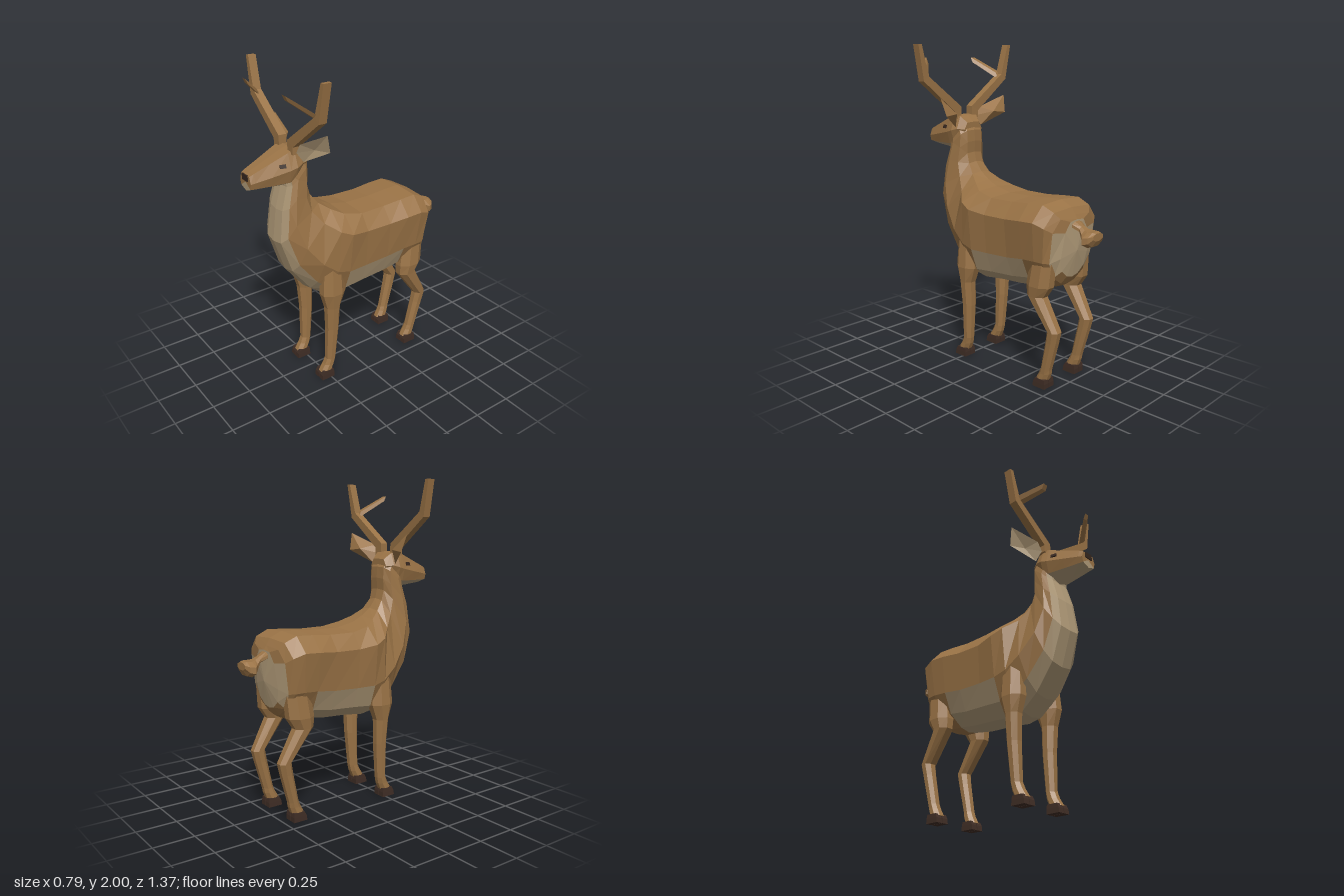
import * as THREE from 'three';

const mat = (name, color) => {
  const m = new THREE.MeshStandardMaterial({ color, flatShading: true });
  m.name = name;
  return m;
};
const V = (x, y, z) => new THREE.Vector3(x, y, z);

export function createModel() {
  const root = new THREE.Group();
  const coat = mat('brown coat', 0x9a7346);
  const pale = mat('pale fur', 0xb09a78);
  const hoofDark = mat('dark hoof', 0x3f2d25);
  const black = mat('nose and eye', 0x35261e);

  // closed solid from triangles [a, b, c, material]; turned outward by its signed volume
  function solid(name, tris) {
    const volume = tris.reduce((s, [a, b, c]) => s + a.dot(V().crossVectors(b, c)), 0);
    const buckets = new Map();
    for (const [a, b, c, m] of tris) {
      if (!buckets.has(m)) buckets.set(m, []);
      for (const p of volume < 0 ? [a, c, b] : [a, b, c]) buckets.get(m).push(p);
    }
    const group = new THREE.Group();
    group.name = name;
    for (const [m, pts] of buckets) {
      const g = new THREE.BufferGeometry().setFromPoints(pts);
      g.computeVertexNormals();
      const mesh = new THREE.Mesh(g, m);
      mesh.name = `${name} ${m.name}`;
      group.add(mesh);
    }
    root.add(group);
  }

  // skin over rings of points; pick(i, j) gives the material, i = -1 / last ring for the caps
  function loft(name, rings, pick, bulge = 0) {
    const n = rings[0].length, tris = [];
    for (let i = 0; i < rings.length - 1; i++)
      for (let j = 0; j < n; j++) {
        const k = (j + 1) % n, [a, b] = [rings[i], rings[i + 1]], m = pick(i, j);
        tris.push([a[j], a[k], b[k], m], [a[j], b[k], b[j], m]);
      }
    const cap = (ring, i, flip, push) => {
      const c = V(0, 0, 0);
      ring.forEach(p => c.addScaledVector(p, 1 / n));
      c.z += push;
      ring.forEach((p, j) => {
        const q = ring[(j + 1) % n];
        tris.push(flip ? [q, p, c, pick(i, j)] : [p, q, c, pick(i, j)]);
      });
    };
    cap(rings[0], -1, true, bulge);
    cap(rings[rings.length - 1], rings.length - 1, false, 0);
    solid(name, tris);
  }

  // symmetric ring between a top and a bottom point of the midline
  function midRing([tz, ty, bz, by], fractions, widths) {
    const at = (x, f) => V(x, ty + (by - ty) * f, tz + (bz - tz) * f);
    const side = s => fractions.map((f, i) => at(s * widths[i], f));
    return [at(0, 0), ...side(1), at(0, 1), ...side(-1).reverse()];
  }
  // index of a segment counted from the top on either side
  const fold = (j, n) => Math.min(j, n - 1 - j);

  // body and neck, from rump to throat
  const body = [
    [[-0.53, 1.02, -0.5, 0.67], [0.06, 0.1, 0.12, 0.1, 0.05]],
    [[-0.515, 1.045, -0.465, 0.62], [0.13, 0.19, 0.19, 0.14, 0.06]],
    [[-0.49, 1.085, -0.43, 0.6], [0.16, 0.235, 0.215, 0.15, 0.07]],
    [[-0.41, 1.12, -0.38, 0.58], [0.165, 0.25, 0.22, 0.16, 0.07]],
    [[-0.3, 1.115, -0.3, 0.575], [0.165, 0.248, 0.215, 0.16, 0.07]],
    [[-0.17, 1.105, -0.17, 0.555], [0.16, 0.233, 0.21, 0.16, 0.075]],
    [[0, 1.105, 0, 0.545], [0.165, 0.23, 0.212, 0.165, 0.075]],
    [[0.12, 1.13, 0.13, 0.53], [0.15, 0.247, 0.22, 0.17, 0.08]],
    [[0.19, 1.165, 0.22, 0.545], [0.11, 0.228, 0.215, 0.16, 0.08]],
    [[0.255, 1.21, 0.33, 0.63], [0.075, 0.16, 0.2, 0.15, 0.08]],
    [[0.3, 1.27, 0.455, 0.79], [0.06, 0.12, 0.17, 0.135, 0.08]],
    [[0.315, 1.33, 0.525, 1.0], [0.06, 0.11, 0.14, 0.12, 0.075]],
    [[0.31, 1.4, 0.5, 1.2], [0.06, 0.1, 0.12, 0.11, 0.065]],
    [[0.315, 1.47, 0.46, 1.34], [0.06, 0.095, 0.105, 0.095, 0.06]],
    [[0.36, 1.54, 0.46, 1.4], [0.05, 0.08, 0.09, 0.08, 0.04]],
  ].map(([mid, w]) => midRing(mid, [0.02, 0.19, 0.62, 0.85, 0.97], w));
  loft('body', body, (i, j) => {
    const k = fold(j, 12);
    if (i === -1) return pale;                          // rump patch
    if (i >= 4 && i <= 6 && k >= 3) return pale;        // belly
    if (i >= 7 && i <= 13 && k >= 4) return pale;       // chest and throat
    if (i === 0 && (k === 2 || k === 3)) return pale;
    return coat;
  }, -0.02);

  // head
  const head = [
    [0.325, 1.52, 1.42, 0.05, 0.075, 0.05],
    [0.37, 1.56, 1.38, 0.07, 0.1, 0.075],
    [0.41, 1.567, 1.345, 0.08, 0.115, 0.09],
    [0.45, 1.555, 1.335, 0.078, 0.11, 0.09],
    [0.56, 1.508, 1.345, 0.062, 0.088, 0.072],
    [0.655, 1.468, 1.355, 0.05, 0.066, 0.056],
    [0.68, 1.455, 1.36, 0.045, 0.06, 0.052],
  ].map(([z, t, b, ...w]) => midRing([z, t, z, b], [0.02, 0.45, 0.8], w));
  loft('head', head, (i, j) => (fold(j, 8) === 3 && i >= 2 ? pale : coat));

  const nose = new THREE.Mesh(new THREE.BoxGeometry(0.058, 0.036, 0.009), black);
  nose.name = 'nose';
  nose.position.set(0, 1.438, 0.681);
  root.add(nose);

  // tail
  const tail = [
    [-0.525, 0.99, 0.05, 0.022], [-0.57, 0.965, 0.03, 0.02], [-0.6, 0.935, 0.05, 0.035],
    [-0.63, 0.92, 0.085, 0.045], [-0.66, 0.925, 0.07, 0.042], [-0.68, 0.94, 0.045, 0.022],
  ].map(([z, y, rx, ry]) => oval(8, (c, s) => V(c * rx, y + s * ry, z)));
  loft('tail', tail, () => coat);

  function oval(n, fn) {
    return Array.from({ length: n }, (_, i) => {
      const a = ((i + 0.5) / n) * Math.PI * 2;
      return fn(Math.cos(a) / Math.cos(Math.PI / n), Math.sin(a) / Math.cos(Math.PI / n));
    });
  }

  // leg sections: y, centre z, half depth, centre x, half width
  const frontLeg = [
    [0.8, 0.215, 0.07, 0.15, 0.055], [0.62, 0.217, 0.08, 0.158, 0.06],
    [0.52, 0.222, 0.047, 0.158, 0.048], [0.36, 0.22, 0.04, 0.152, 0.042],
    [0.13, 0.232, 0.032, 0.146, 0.034], [0.09, 0.245, 0.036, 0.144, 0.035],
    [0.045, 0.27, 0.04, 0.143, 0.038],
  ];
  const hindLeg = [
    [0.8, -0.41, 0.08, 0.15, 0.055], [0.63, -0.39, 0.085, 0.158, 0.06],
    [0.565, -0.37, 0.062, 0.158, 0.052], [0.37, -0.497, 0.04, 0.152, 0.042],
    [0.3, -0.482, 0.038, 0.15, 0.038], [0.12, -0.437, 0.032, 0.146, 0.034],
    [0.09, -0.428, 0.036, 0.144, 0.035], [0.045, -0.407, 0.04, 0.143, 0.038],
  ];
  const quad = (x0, x1, y, z0, z1) => [V(x0, y, z0), V(x1, y, z0), V(x1, y, z1), V(x0, y, z1)];

  for (const s of [1, -1]) {
    const side = s > 0 ? 'left' : 'right';

    for (const [part, spec, back] of [['FrontLeg', frontLeg, 0.227], ['HindLeg', hindLeg, -0.453]]) {
      loft(side + part, spec.map(([y, z, rz, x, rx]) =>
        oval(8, (c, n) => V(s * x + c * rx, y, z + n * rz))), () => coat);
      // two toes per hoof
      for (const t of [-1, 1]) {
        const x = s * 0.143 + t * 0.023;
        loft(`${side}${part}Hoof`, [
          quad(x - 0.021, x + 0.021, 0, back, back + 0.092),
          quad(x - 0.02, x + 0.02, 0.03, back, back + 0.088),
          quad(x - 0.018, x + 0.018, 0.055, back + 0.004, back + 0.075),
        ], () => hoofDark);
      }
    }

    // ear: pale folded inside, brown back
    const rim = [[0.11, 1.49, 0.37], [0.1, 1.55, 0.41], [0.13, 1.605, 0.405],
      [0.275, 1.68, 0.32], [0.255, 1.57, 0.29]].map(([x, y, z]) => V(s * x, y, z));
    const crease = V(s * 0.17, 1.57, 0.335), ridge = V(s * 0.16, 1.58, 0.3);
    solid(side + 'Ear', rim.flatMap((p, i) => {
      const q = rim[(i + 1) % rim.length];
      return [[p, q, crease, pale], [q, p, ridge, coat]];
    }));

    // antler beam: inner x, y, outer x, y, centre z
    loft(side + 'Antler', [
      [0.045, 1.54, 0.1, 1.54, 0.408], [0.045, 1.615, 0.1, 1.585, 0.408],
      [0.315, 1.812, 0.352, 1.78, 0.403], [0.367, 2, 0.393, 2, 0.397],
    ].map(([x0, y0, x1, y1, z]) => [V(s * x0, y0, z - 0.025), V(s * x1, y1, z - 0.025),
      V(s * x1, y1, z + 0.025), V(s * x0, y0, z + 0.025)]), () => coat);

    // forward tine
    loft(side + 'AntlerTine', [[0.32, 1.8, 0.405, 0.021], [0.207, 1.905, 0.535, 0.016]].map(([x, y, z, r]) =>
      [[-1, 1], [1, 1], [1, -1], [-1, -1]].map(([a, b]) =>
        V(s * (x + a * r), y + b * r, z + b * r * 0.5))), () => coat);

    const eye = new THREE.Mesh(new THREE.BoxGeometry(0.009, 0.022, 0.036), black);
    eye.name = side + 'Eye';
    eye.position.set(s * 0.0905, 1.485, 0.493);
    eye.rotation.set(0, -0.2 * s, 0.32 * s);
    root.add(eye);
  }
  return root;
}
